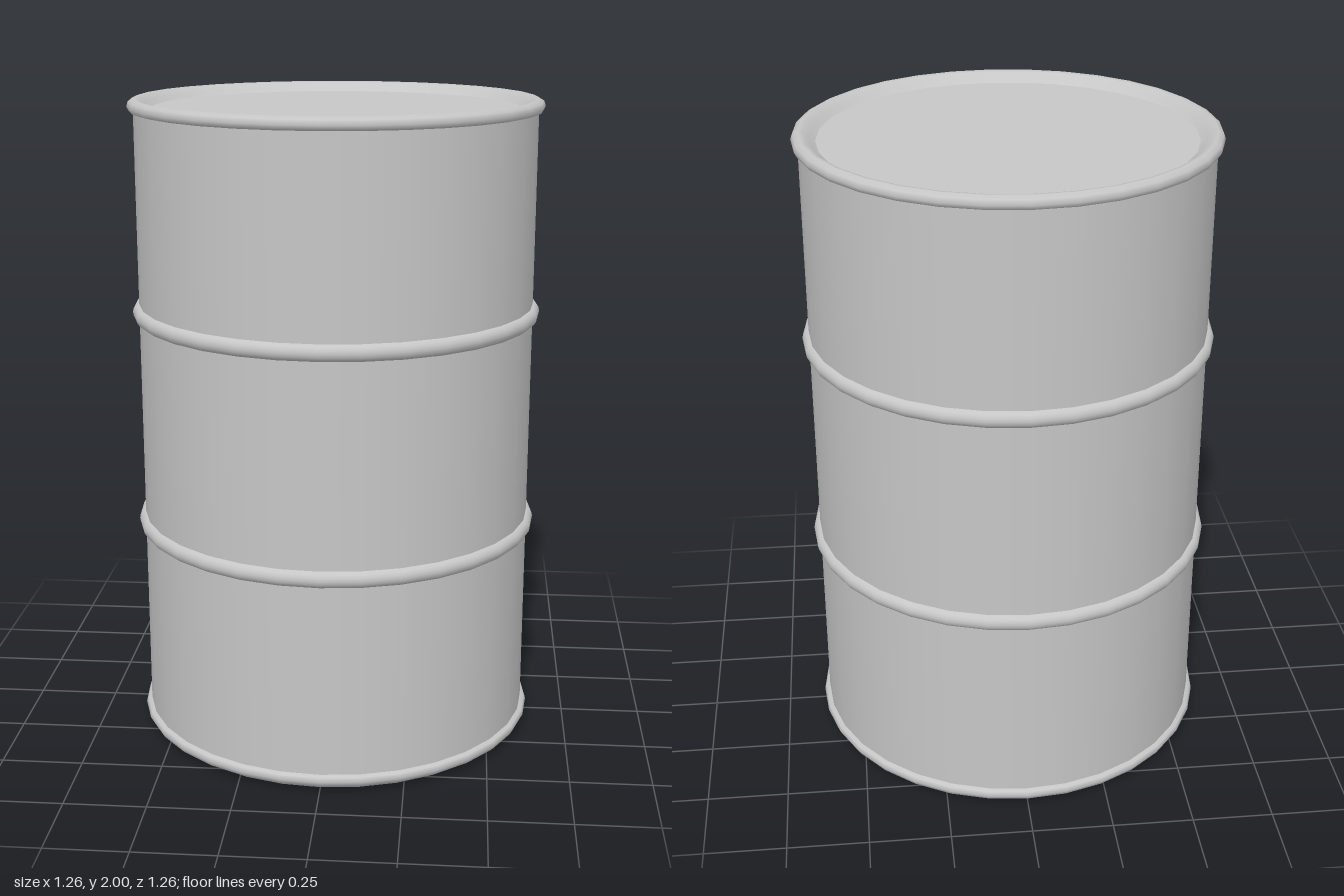
import * as THREE from 'three';

const SIDES = 32;

export function createModel() {
  const steel = new THREE.MeshStandardMaterial({ color: 0xc6c6c6 });
  steel.name = 'steel grey';
  const drum = new THREE.Group();
  drum.name = 'drum';

  // Revolves a [radius, height] profile, listed from the bottom up on the outside
  function revolve(name, profile) {
    const points = profile.map(([r, y]) => new THREE.Vector2(r, y));
    const mesh = new THREE.Mesh(new THREE.LatheGeometry(points, SIDES), steel);
    mesh.name = name;
    drum.add(mesh);
  }

  // Straight wall
  revolve('wall', [[0.612, 0.04], [0.612, 1.97]]);

  // Rolled hoops around the wall
  for (const [name, y] of [['lowerHoop', 0.677], ['upperHoop', 1.35]]) {
    const profile = [];
    for (let i = 0; i <= 8; i++) {
      const a = -Math.PI / 2 + (i / 8) * Math.PI;
      profile.push([0.608 + 0.024 * Math.cos(a), y + 0.026 * Math.sin(a)]);
    }
    revolve(name, profile);
  }

  // Bottom rim, chamfered towards the floor
  revolve('bottomRim', [
    [0.565, 0.012], [0.585, 0], [0.595, 0.002], [0.622, 0.02],
    [0.63, 0.035], [0.625, 0.049], [0.61, 0.053],
  ]);

  // Top rim, rolling inwards to the lid
  revolve('topRim', [
    [0.61, 1.96], [0.625, 1.964], [0.631, 1.977], [0.626, 1.992],
    [0.61, 2], [0.595, 1.997], [0.578, 1.983], [0.56, 1.97],
  ]);

  // Flat ends, slightly recessed inside the rims
  revolve('base', [[0, 0.012], [0.566, 0.012]]);
  revolve('lid', [[0.561, 1.97], [0, 1.97]]);

  return drum;
}
